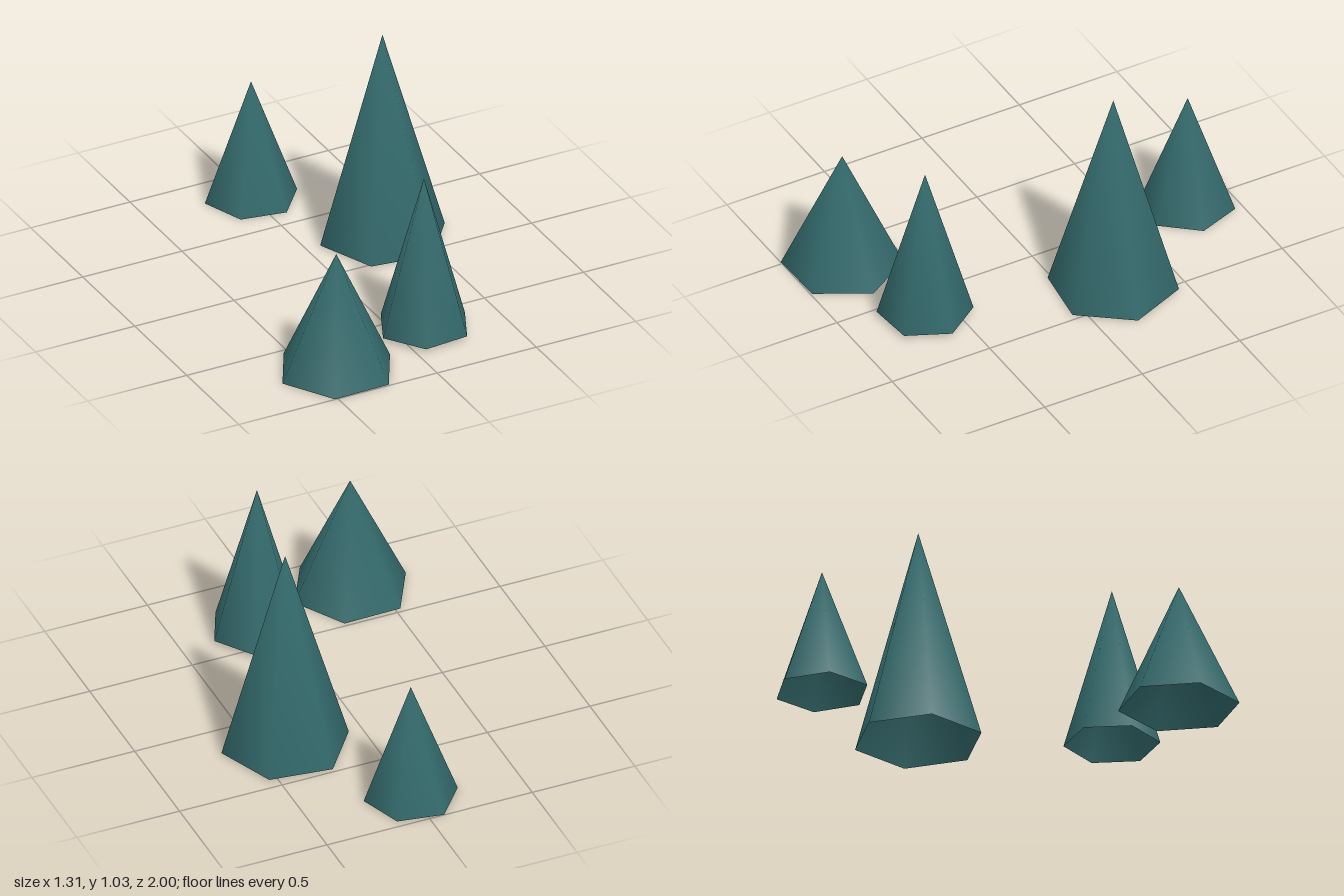
import * as THREE from 'three';
import { mergeVertices } from 'three/addons/utils/BufferGeometryUtils.js';

const foliage = new THREE.MeshStandardMaterial({ color: 0x326769, side: THREE.DoubleSide });
foliage.name = 'dark teal foliage';

// Open six-sided cone standing on y = 0, with shared vertices for smooth normals
function treeGeometry(radius, height) {
  let geometry = new THREE.ConeGeometry(radius, height, 6, 1, true);
  geometry.deleteAttribute('uv');
  geometry.deleteAttribute('normal');
  geometry = mergeVertices(geometry, 1e-4);
  geometry.computeVertexNormals();
  return geometry.translate(0, height / 2, 0);
}

// Position of the base, radius, tip height and turn in degrees
const trees = [
  { name: 'tallTree', at: [0.36, 0.005, -0.213], radius: 0.296, tip: 1.03, turn: -7.5 },
  { name: 'slimTree', at: [0.131, 0.02, 0.623], radius: 0.217, tip: 0.775, turn: 5 },
  { name: 'wideTree', at: [-0.382, 0, 0.758], radius: 0.274, tip: 0.59, turn: 1.2 },
  { name: 'smallTree', at: [0.003, 0, -0.796], radius: 0.216, tip: 0.59, turn: -10 },
];

export function createModel() {
  const group = new THREE.Group();
  group.name = 'treeGroup';
  for (const { name, at, radius, tip, turn } of trees) {
    const tree = new THREE.Mesh(treeGeometry(radius, tip - at[1]), foliage);
    tree.name = name;
    tree.position.set(...at);
    tree.rotation.y = THREE.MathUtils.degToRad(turn + 90);
    group.add(tree);
  }
  return group;
}
